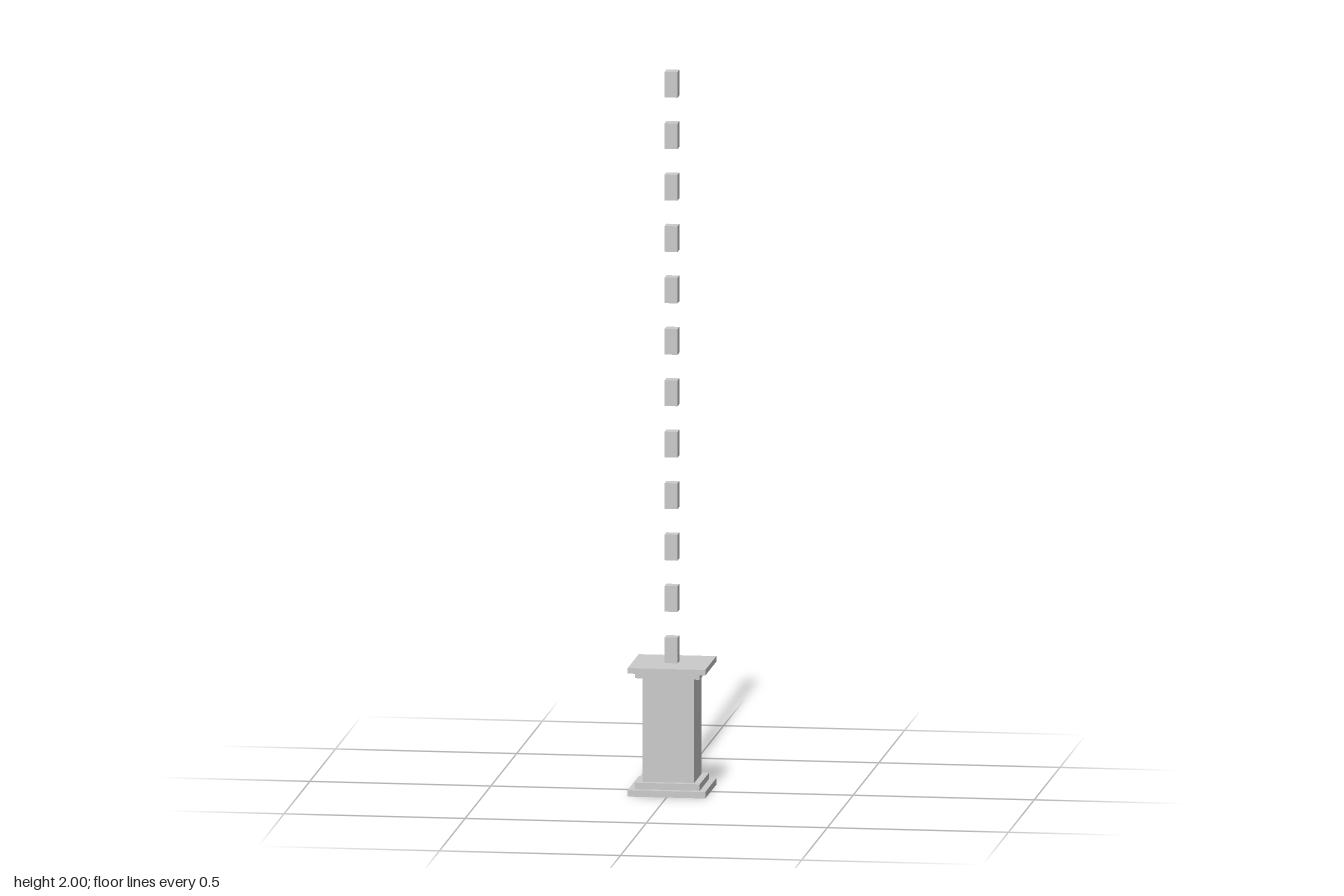
import * as THREE from 'three';

export function createModel() {
  const model = new THREE.Group();
  const material = new THREE.MeshStandardMaterial({ color: 0xcccccc, flatShading: true });
  const unit = 1 / 14; // height of one floating block

  // Square block standing on height y
  function block(name, width, y, height, parent) {
    const mesh = new THREE.Mesh(new THREE.BoxGeometry(width, height, width), material);
    mesh.name = name;
    mesh.position.y = y + height / 2;
    parent.add(mesh);
  }

  // Pedestal: stepped base, shaft and stepped cap
  const pedestal = new THREE.Group();
  pedestal.name = 'pedestal';
  model.add(pedestal);
  const top = 5 * unit;
  const baseStep = 0.0179;
  const capStep = 0.0155;
  block('basePlate', 3 * unit, 0, baseStep, pedestal);
  block('baseStep', 2.5 * unit, baseStep, baseStep, pedestal);
  block('shaft', 2 * unit, 2 * baseStep, top - 2 * baseStep - 2 * capStep, pedestal);
  block('capStep', 2.5 * unit, top - 2 * capStep, capStep, pedestal);
  block('capPlate', 3 * unit, top - capStep, capStep, pedestal);

  // Dashed column of evenly spaced blocks above the cap
  const beam = new THREE.Group();
  beam.name = 'dashedColumn';
  model.add(beam);
  for (let i = 0; i < 12; i++) {
    block(`columnBlock${i + 1}`, unit / 2, top + i * 2 * unit, unit, beam);
  }

  return model;
}
